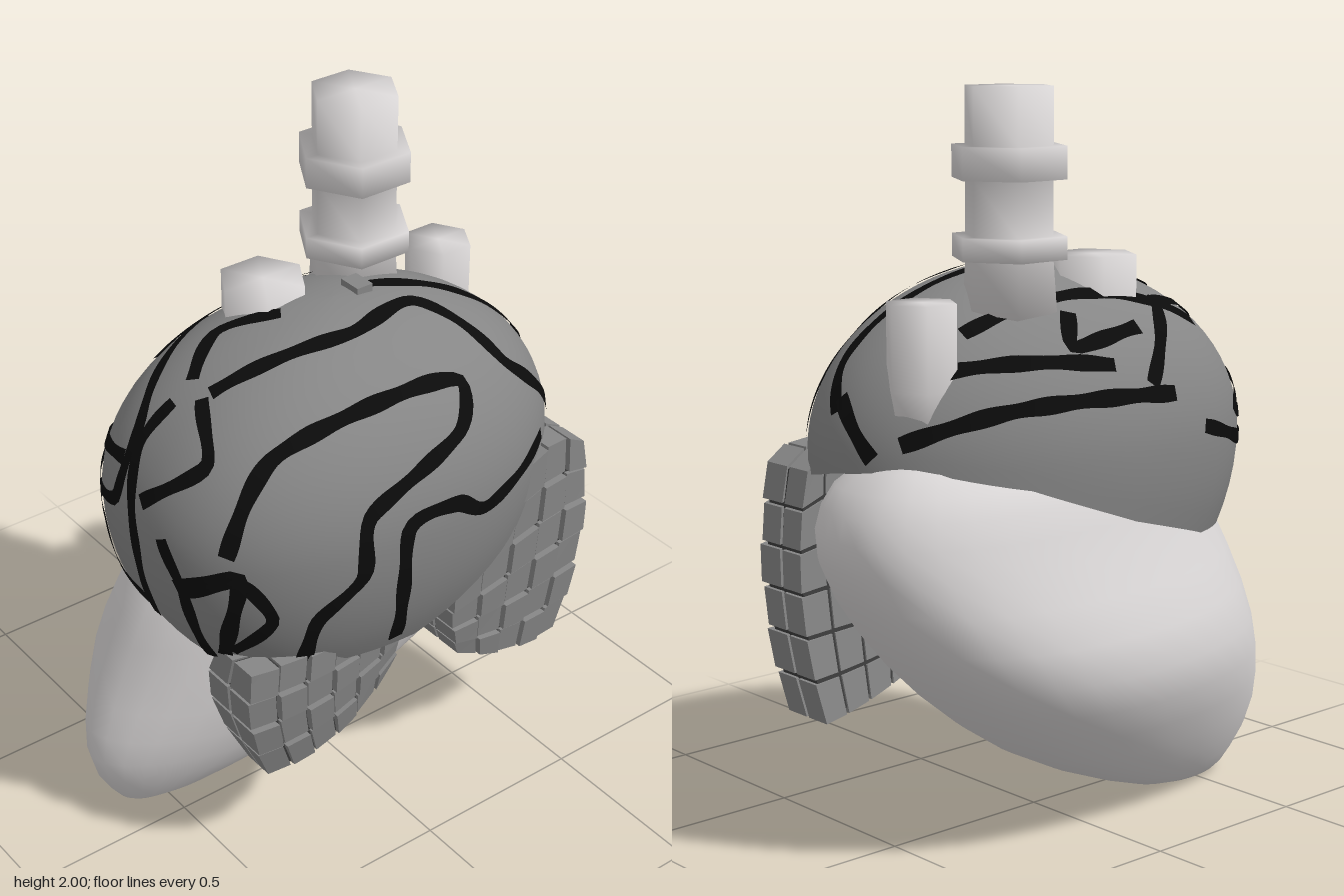
import * as THREE from 'three';
import { mergeGeometries } from 'three/addons/utils/BufferGeometryUtils.js';

const mat = (name, color, side = THREE.FrontSide) => {
  const m = new THREE.MeshStandardMaterial({ color, side });
  m.name = name;
  return m;
};

// Closed rings of points, listed from top to bottom, joined by a smooth skin
function loft(rings) {
  const n = rings[0].length, index = [];
  for (let i = 0; i < rings.length - 1; i++)
    for (let j = 0; j < n; j++) {
      const k = (j + 1) % n, a = i * n + j, b = a + n, c = i * n + n + k, d = i * n + k;
      index.push(a, b, c, a, c, d);
    }
  const g = new THREE.BufferGeometry().setFromPoints(rings.flat());
  g.setIndex(index);
  g.computeVertexNormals();
  return g;
}
const around = (n, f) => Array.from({ length: n }, (_, j) => f((j / n) * Math.PI * 2));
// Length of (x, z) measured by a rounded square rule of power p
const span = (x, z, p) => (Math.abs(x) ** p + Math.abs(z) ** p) ** (1 / p);
// The other side of such a corner, given its span and one side
const other = (h, k, p) => Math.max(0, h ** p - Math.abs(k) ** p) ** (1 / p);

// Shell: upper and lower domes on one rounded outline, fuller at the front, with an uneven rim
const CX = 0.045, CY = 1.05, RX = 0.46, RZ = 0.645;
const ry = (y) => (y >= CY ? 0.48 : 0.65);
const power = (z) => (z > 0 ? 2.4 : 2);
const RIM = [0.8, 0.65, 0.67, 0.65, 0.8, 0.98, 1.03, 1.06, 1.0, 0.88, 0.79, 0.78];
function rimY(a) {
  const t = ((a / (Math.PI * 2)) * 12 + 12) % 12, i = Math.floor(t);
  return THREE.MathUtils.lerp(RIM[i], RIM[(i + 1) % 12], t - i);
}
function shellPoint(a, t) {
  const low = rimY(a), phi = Math.acos((low - CY) / ry(low)) * t;
  const c = Math.cos(phi), x = Math.sin(a), z = Math.cos(a), s = Math.sin(phi) / span(x, z, power(z));
  return new THREE.Vector3(CX + RX * s * x, CY + c * (c >= 0 ? 0.48 : 0.65), RZ * s * z);
}
function onShell(p) {
  const q = new THREE.Vector3((p.x - CX) / RX, (p.y - CY) / ry(p.y), p.z / RZ);
  q.divideScalar(Math.hypot(q.y, span(q.x, q.z, power(q.z))));
  return new THREE.Vector3(CX + q.x * RX, CY + q.y * ry(p.y), q.z * RZ);
}
const shellNormal = (p) =>
  new THREE.Vector3((p.x - CX) / RX ** 2, (p.y - CY) / ry(p.y) ** 2, p.z / RZ ** 2).normalize();

// Lift a flat point onto the shell from one side
function lift(side, [a, b]) {
  if (side === 'top') {
    const h = span((a - CX) / RX, b / RZ, power(b));
    return onShell(new THREE.Vector3(a, CY + 0.48 * other(1, h, 2), b));
  }
  const h = other(1, (b - CY) / ry(b), 2);
  if (side === 'front' || side === 'back') {
    const s = side === 'front' ? 1 : -1;
    return onShell(new THREE.Vector3(a, b, s * RZ * other(h, (a - CX) / RX, power(s))));
  }
  return onShell(new THREE.Vector3(CX + (side === 'left' ? RX : -RX) * other(h, a / RZ, power(a)), b, a));
}

// Thin ribbon hugging the shell, cut off at the rim
function crack(side, pts, width) {
  const curve = new THREE.CatmullRomCurve3(pts.map((p) => lift(side, p)), false, 'catmullrom', 0.35);
  const samples = curve.getSpacedPoints(Math.ceil(curve.getLength() / 0.02)).map(onShell);
  const verts = [], index = [];
  samples.forEach((p, i) => {
    const n = shellNormal(p);
    const t = samples[Math.min(i + 1, samples.length - 1)].clone().sub(samples[Math.max(i - 1, 0)]);
    const s = n.clone().cross(t).normalize();
    const w = width * (0.5 + 0.06 * Math.sin(i * 0.7));
    for (const k of [1, -1])
      verts.push(onShell(p.clone().addScaledVector(s, k * w)).addScaledVector(n, 0.005));
    const visible = p.y > rimY(Math.atan2((p.x - CX) / RX, p.z / RZ));
    if (i && visible) index.push(2 * i - 2, 2 * i - 1, 2 * i, 2 * i - 1, 2 * i + 1, 2 * i);
  });
  const g = new THREE.BufferGeometry().setFromPoints(verts);
  g.setIndex(index);
  g.computeVertexNormals();
  return g;
}

// Crack paths: front and back as (x, y), left and right as (z, y), top as (x, z)
const CRACKS = {
  left: [
    [[0.35, 0.7], [0.35, 0.88], [0.24, 1], [0.21, 1.17], [-0.1, 1.28], [-0.16, 1.37], [0, 1.4], [0.4, 1.33], [0.55, 1.1]],
    [[0.09, 0.7], [0.11, 1.09], [-0.05, 1.11], [-0.16, 1.05], [-0.45, 1.1]],
    [[0.62, 0.97], [0.53, 1.04], [0.51, 0.73]],
  ],
  front: [
    [[0.01, 1.37], [-0.01, 1.27], [0.06, 1.05], [0.07, 0.74]],
    [[0.08, 1.4], [0.21, 1.3], [0.07, 1.16]],
    [[-0.22, 1.42], [-0.05, 1.3], [-0.04, 1.12], [-0.17, 1.08], [-0.31, 1.12], [-0.05, 1.22]],
    [[-0.39, 1.1], [-0.3, 1.03], [-0.13, 1.01], [-0.1, 0.88], [0.05, 0.84]],
    [[0.16, 1.1], [0.22, 0.96], [0.2, 0.68]],
    [[0.22, 0.96], [0.35, 1.03], [0.39, 0.9], [0.28, 0.76]],
  ],
  top: [
    [[0.06, -0.62], [0.13, -0.53], [0.04, -0.1]],
    [[0.27, -0.56], [0.32, -0.36], [0.15, -0.18], [0.19, 0.06], [0.09, 0.42]],
    [[0.02, 0.15], [-0.07, 0.29], [0.01, 0.42]],
    [[-0.15, -0.38], [-0.2, 0], [-0.22, 0.38]],
    [[-0.38, 0.07], [-0.2, 0.25]],
  ],
  back: [[[0.06, 1.22], [-0.08, 1.08]]],
  right: [
    [[-0.58, 1.12], [-0.36, 1.2], [0.15, 1.2]],
    [[-0.48, 1.29], [-0.04, 1.29]],
    [[-0.1, 1.42], [-0.14, 1.34], [0.1, 1.37]],
  ],
};

// Cage: a 3 x 3 net of (z, y) points gives its outline, rows from bottom to top
const quad = (a, b, c, t) =>
  a * (1 - t) * (1 - 2 * t) + b * 4 * t * (1 - t) + c * t * (2 * t - 1);
function netPoint(net, outerX, depth, u, v, w) {
  const at = (k) => quad(...net.map((row) => quad(row[0][k], row[1][k], row[2][k], u)), v);
  return [outerX(u, v) - depth(v) * (1 - w), at(1), at(0)];
}
function cageBlock(net, outerX, depth, lo, hi) {
  const g = new THREE.BoxGeometry(1, 1, 1), p = g.attributes.position;
  for (let i = 0; i < p.count; i++) {
    const c = [p.getX(i), p.getY(i), p.getZ(i)].map((s, k) => (s < 0 ? lo[k] : hi[k]));
    p.setXYZ(i, ...netPoint(net, outerX, depth, ...c));
  }
  g.computeVertexNormals();
  return g;
}

export function createModel() {
  const model = new THREE.Group();
  model.name = 'armouredHeart';
  const pale = mat('pale flesh', 0xd9d6d6);
  const grey = mat('grey shell', 0x868686);
  const black = mat('black cracks', 0x0b0b0b, THREE.DoubleSide);
  const dark = mat('dark gaps', 0x3c3c3c);
  const add = (name, geometry, material, parent = model) => {
    const m = new THREE.Mesh(geometry, material);
    m.name = name;
    parent.add(m);
    return m;
  };

  // Heart body: key sections of y, front z, back z, right x, left x, joined by splines
  const keys = [
    [1.12, 0.05, -0.5, -0.16, -0.04], [1.0, 0.42, -0.67, -0.33, 0.19], [0.8, 0.57, -0.715, -0.41, 0.25],
    [0.5, 0.66, -0.53, -0.5, 0.23], [0.22, 0.72, -0.19, -0.36, 0.11],
    [0.03, 0.63, 0.26, -0.2, -0.04], [0, 0.55, 0.52, -0.125, -0.115],
  ];
  const edges = [1, 2, 3, 4].map((c) => new THREE.SplineCurve(keys.map((k) => new THREE.Vector2(k[0], k[c]))));
  add('heartBody', loft(Array.from({ length: 19 }, (_, i) => {
    const at = edges.map((e) => e.getPoint(i / 18));
    const [zf, zb, xr, xl] = at.map((p) => p.y), zc = THREE.MathUtils.lerp(zb, zf, 0.42);
    return around(32, (a) => {
      const x = Math.sin(a), z = Math.cos(a), s = 1 / span(x, z, z > 0 ? 1.8 : 2.5);
      return new THREE.Vector3(
        (xl + xr) / 2 + ((xl - xr) / 2) * x * s, at[0].x, zc + (z > 0 ? zf - zc : zc - zb) * z * s);
    });
  })), pale);

  // Shell dome, its underside and the cracks
  const rings = Array.from({ length: 25 }, (_, i) => around(72, (a) => shellPoint(a, Math.max(i / 24, 0.001))));
  add('shell', loft(rings), grey);
  const rim = rings[24];
  const inner = rim.map((p) => new THREE.Vector3(-0.05 + (p.x + 0.05) * 0.35, p.y + 0.05, p.z * 0.5));
  add('shellUnderside', loft([rim, inner]), grey);
  const ribbons = Object.entries(CRACKS).flatMap(([side, paths]) =>
    paths.map((pts) => crack(side, pts, side === 'front' ? 0.038 : 0.043)));
  add('shellCracks', mergeGeometries(ribbons), black);
  add('topStud', new THREE.BoxGeometry(0.07, 0.03, 0.05), grey).position.set(0.04, 1.53, -0.08);

  // Six-sided vessels
  const vessel = (name, z, profile) =>
    add(name, new THREE.LatheGeometry(profile.map(([r, y]) => new THREE.Vector2(r, y)), 6), pale)
      .position.set(-0.115, 0, z);
  const collar = (low, high) => [[0.12, low], [0.157, low], [0.157, high], [0.12, high]];
  vessel('mainVessel', -0.19,
    [[0, 1.36], [0.13, 1.42], ...collar(1.56, 1.62), ...collar(1.765, 1.85), [0.12, 2], [0, 2]]);
  vessel('frontVessel', 0.11, [[0.12, 1.36], [0.12, 1.55], [0, 1.55]]);
  vessel('rearVessel', -0.485, [[0, 1.08], [0.08, 1.12], [0.095, 1.25], [0.095, 1.47], [0, 1.47]]);

  // Block cages on the left side
  const cage = (name, net, cols, rows, outerX, depth) => {
    const group = new THREE.Group(), blocks = [], core = [];
    group.name = name;
    const gap = [0.055 / cols, 0.055 / rows, 0.03];
    for (let i = 0; i < cols; i++)
      for (let j = 0; j < rows; j++) {
        for (const k of [0, 1]) {
          const raised = k && (i + j) % 2 ? 0.05 : 0;
          const lo = [i / cols, j / rows, k / 2].map((s, n) => s + gap[n]);
          const hi = [(i + 1) / cols, (j + 1) / rows, (k + 1) / 2 + raised].map((s, n) => s - gap[n]);
          blocks.push(cageBlock(net, outerX, depth, lo, hi));
        }
        core.push(cageBlock(net, outerX, depth,
          [Math.max(i / cols, 0.03), Math.max(j / rows, 0.03), 0.06],
          [Math.min((i + 1) / cols, 0.97), Math.min((j + 1) / rows, 0.97), 0.9]));
      }
    add(name + 'Blocks', mergeGeometries(blocks), grey, group);
    add(name + 'Core', mergeGeometries(core), dark, group);
    model.add(group);
  };
  cage('frontCage', [
    [[0.43, 0.31], [0.22, 0.37], [0.01, 0.49]],
    [[0.51, 0.53], [0.26, 0.56], [0.0, 0.61]],
    [[0.52, 0.74], [0.26, 0.74], [0, 0.74]],
  ], 6, 4, (u, v) => 0.37 + 0.14 * u * (1 - u) - 0.05 * (1 - v) ** 2, (v) => 0.09 + 0.3 * v * (1 - v) + 0.06 * v);
  cage('rearCage', [
    [[-0.2, 0.45], [-0.4, 0.36], [-0.61, 0.32]],
    [[-0.14, 0.64], [-0.4, 0.68], [-0.66, 0.68]],
    [[-0.15, 0.86], [-0.42, 1.05], [-0.62, 1.01]],
  ], 5, 6, (u, v) => 0.41 - 0.04 * u * u - 0.05 * (1 - v) ** 2, () => 0.18);

  return model;
}
